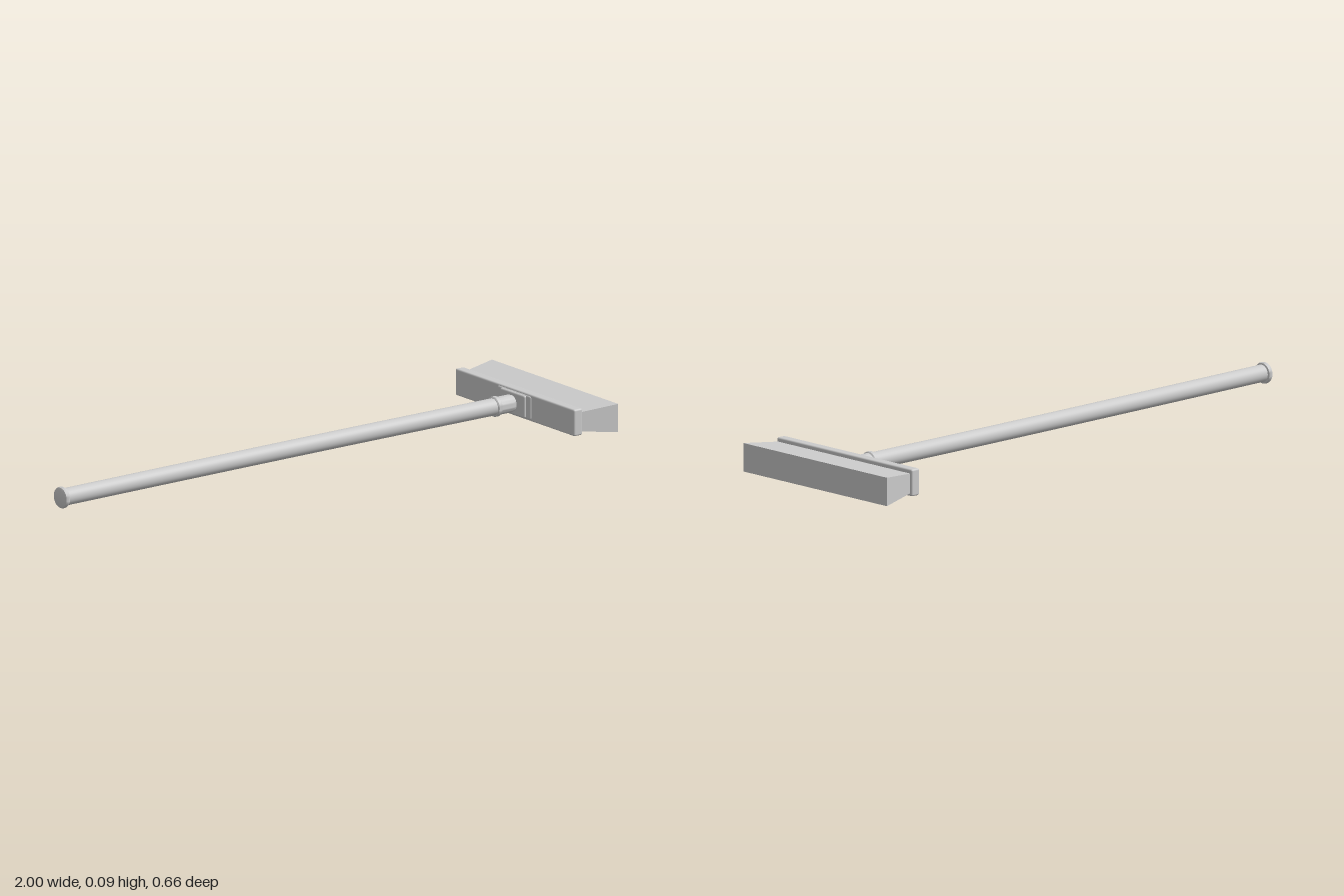
import * as THREE from 'three';
import { RoundedBoxGeometry } from 'three/addons/geometries/RoundedBoxGeometry.js';
import { toCreasedNormals } from 'three/addons/utils/BufferGeometryUtils.js';

const AXIS_Y = 0.051;

export function createModel() {
  const group = new THREE.Group();
  const material = new THREE.MeshStandardMaterial({ color: 0xcccccc });

  const add = (name, geometry, x = 0, y = 0, z = 0) => {
    const mesh = new THREE.Mesh(geometry, material);
    mesh.name = name;
    mesh.position.set(x, y, z);
    group.add(mesh);
    return mesh;
  };

  // Turned part whose profile [radius, distance] runs along +x
  const addTurned = (name, profile, x, z, yaw = 0) => {
    const lathe = new THREE.LatheGeometry(profile.map(([r, d]) => new THREE.Vector2(r, d)), 32);
    lathe.rotateZ(-Math.PI / 2);
    const mesh = add(name, toCreasedNormals(lathe, 0.6), x, AXIS_Y, z);
    mesh.rotation.y = yaw;
  };

  // Long pole with a slight bow
  const path = new THREE.CatmullRomCurve3([
    [-0.985, 0.019], [-0.4, 0.007], [0.2, -0.002], [0.78, -0.005],
  ].map(([x, z]) => new THREE.Vector3(x, AXIS_Y, z)));
  add('handle', new THREE.TubeGeometry(path, 32, 0.028, 32, false));

  // Rounded cap on the free end
  addTurned('endCap', [
    [0, 0], [0.027, 0.001], [0.033, 0.004], [0.035, 0.008],
    [0.035, 0.014], [0.033, 0.018], [0.028, 0.02], [0, 0.02],
  ], -1, 0.019, 0.02);

  // Raised ring and tapered socket joining the pole to the head
  addTurned('collar', [
    [0, 0], [0.03, 0], [0.033, 0.003], [0.033, 0.014], [0.03, 0.017], [0, 0.017],
  ], 0.753, -0.005);
  addTurned('socket', [
    [0, 0], [0.029, 0], [0.029, 0.05], [0.026, 0.062], [0.026, 0.08], [0, 0.08],
  ], 0.768, -0.005);

  // Head: stepped mounting pad and rounded block
  add('mountingPad', new RoundedBoxGeometry(0.03, 0.074, 0.13, 3, 0.006), 0.843, AXIS_Y, -0.003);
  add('padFlange', new RoundedBoxGeometry(0.02, 0.078, 0.175, 3, 0.006), 0.845, AXIS_Y, -0.003);
  add('headBlock', new RoundedBoxGeometry(0.034, 0.088, 0.624, 3, 0.006), 0.856, AXIS_Y, -0.003);

  // Bristle mass flaring towards its tip
  const bristles = new THREE.BoxGeometry(0.132, 0.093, 0.662);
  const p = bristles.attributes.position;
  for (let i = 0; i < p.count; i++) {
    if (p.getX(i) < 0) p.setXYZ(i, p.getX(i), p.getY(i) * 0.68 + 0.003, p.getZ(i) * 0.918);
  }
  bristles.computeVertexNormals();
  add('bristles', bristles, 0.934, 0.0465, -0.002);

  return group;
}
